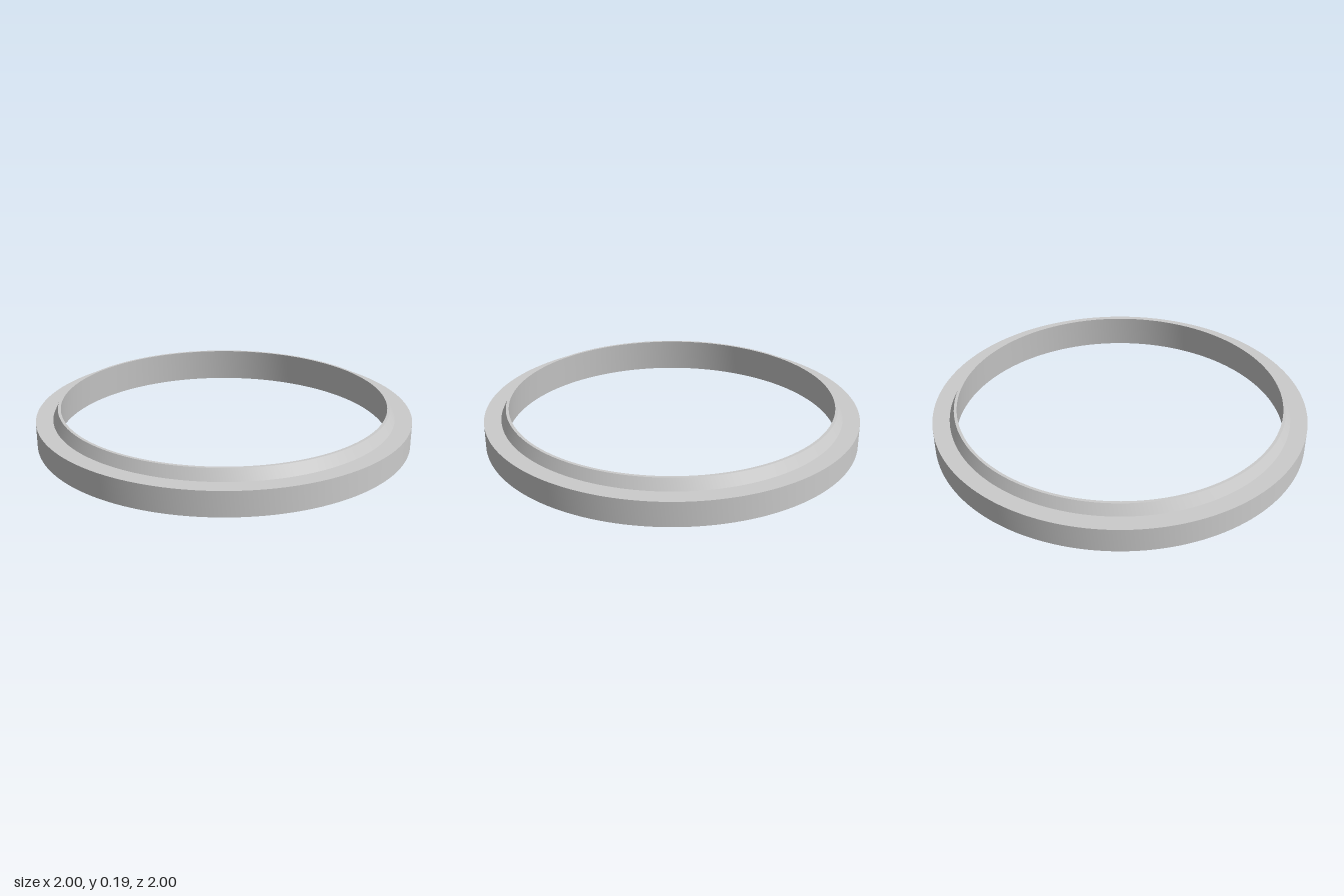
import * as THREE from 'three';
import { toCreasedNormals } from 'three/addons/utils/BufferGeometryUtils.js';

export function createModel() {
  const group = new THREE.Group();
  group.name = 'adapterRing';

  // Closed cross-section: flat flange, bevelled lip, slightly tapered bore
  const profile = [
    [0.89, 0], [1, 0], [1, 0.13],
    [0.91, 0.13], [0.883, 0.186],
    [0.868, 0.186], [0.89, 0],
  ].map(([r, y]) => new THREE.Vector2(r, y));

  // Crisp edges between bands, smooth around the circumference
  const geometry = toCreasedNormals(new THREE.LatheGeometry(profile, 160), 0.2);
  const ring = new THREE.Mesh(geometry, new THREE.MeshStandardMaterial({ color: 0xcccccc }));
  ring.name = 'flangedRing';
  group.add(ring);

  return group;
}
